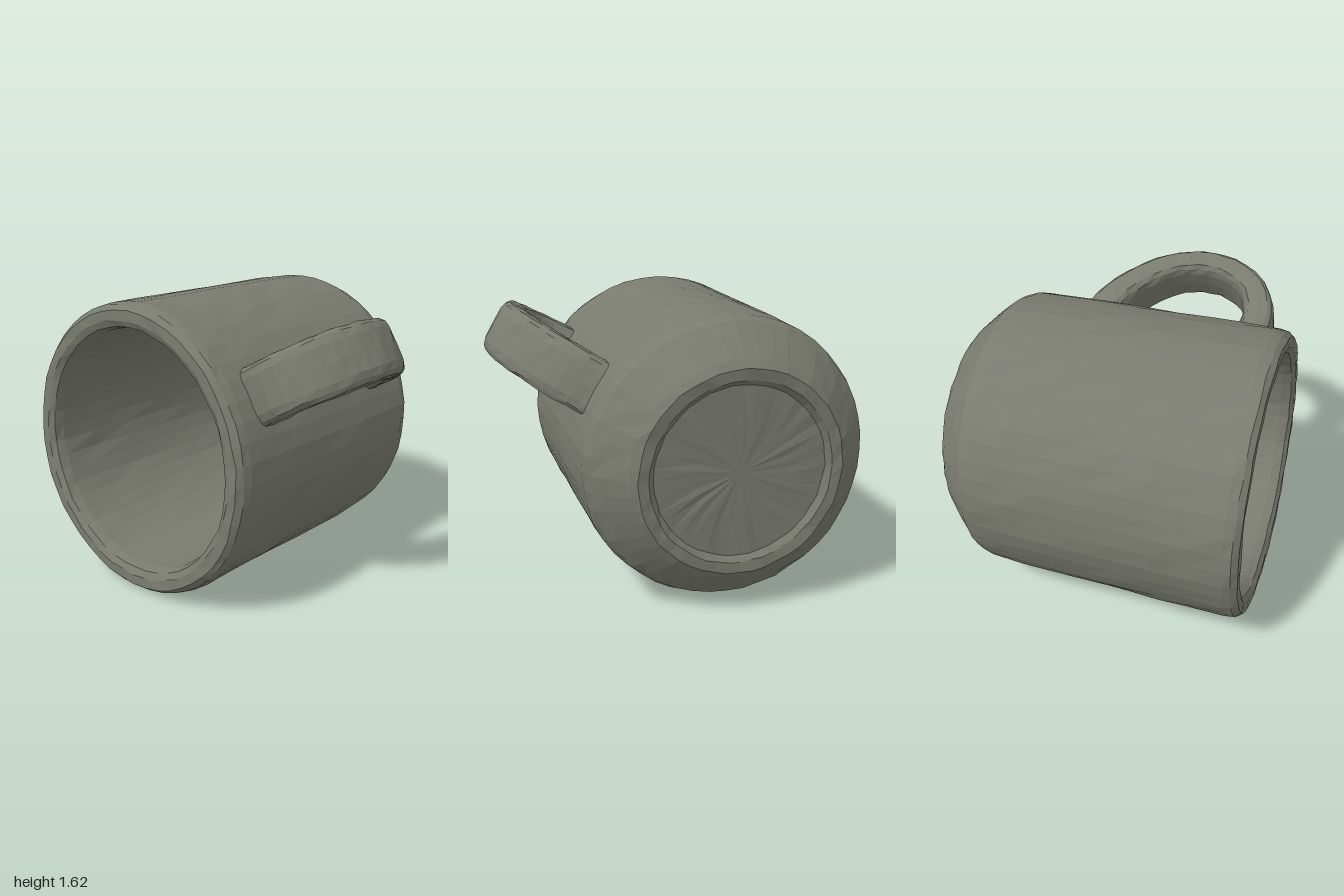
import * as THREE from 'three';

const clay = new THREE.MeshStandardMaterial({ color: 0x797b6f, flatShading: true });
clay.name = 'grey green clay';

// Repeatable value in -1..1 for a point, so shared corners stay joined
function wobble(x, y, z, salt) {
  const q = v => Math.round(v * 100 + 0.137);
  const s = Math.sin(q(x) * 12.99 + q(y) * 78.23 + q(z) * 37.72 + salt * 19.19) * 43758.55;
  return (s - Math.floor(s)) * 2 - 1;
}

// Slight hand-worked unevenness
function roughen(geometry, amount) {
  const p = geometry.attributes.position;
  for (let i = 0; i < p.count; i++) {
    const v = [p.getX(i), p.getY(i), p.getZ(i)];
    p.setXYZ(i, ...v.map((c, k) => c + amount * wobble(...v, k + 1)));
  }
  geometry.computeVertexNormals();
  return geometry;
}

// Hollow cup on its side: base, outer wall, lip, inner wall, floor
function makeCup() {
  const profile = [
    [0, -0.825], [0.25, -0.825], [0.47, -0.825], [0.5, -0.855], [0.56, -0.86],
    [0.6, -0.83], [0.7, -0.73], [0.765, -0.66], [0.79, -0.59], [0.797, -0.4],
    [0.8, -0.2], [0.802, 0], [0.804, 0.2], [0.806, 0.4], [0.808, 0.6],
    [0.81, 0.78], [0.802, 0.83], [0.775, 0.86], [0.72, 0.86], [0.685, 0.84],
    [0.67, 0.79], [0.665, 0.55], [0.66, 0.3], [0.655, 0.05], [0.65, -0.2],
    [0.64, -0.45], [0.6, -0.57], [0.5, -0.65], [0.25, -0.67], [0, -0.67],
  ].map(([r, h]) => new THREE.Vector2(r, h));
  const geometry = new THREE.LatheGeometry(profile, 48).rotateX(Math.PI / 2);
  // Both ends lean slightly
  const p = geometry.attributes.position;
  for (let i = 0; i < p.count; i++) p.setZ(i, p.getZ(i) - 0.026 * p.getY(i));
  return new THREE.Mesh(roughen(geometry, 0.004), clay);
}

// Strap handle: rounded rectangular section swept along an arch
function makeHandle() {
  const path = new THREE.CatmullRomCurve3([
    [0.73, -0.37], [0.9, -0.3], [1.05, -0.17], [1.17, 0], [1.22, 0.2],
    [1.19, 0.37], [1.1, 0.51], [0.95, 0.58], [0.73, 0.56],
  ].map(([x, z]) => new THREE.Vector3(x, 0, z)));
  const steps = 24, sides = 16, positions = [], indices = [];
  const up = new THREE.Vector3(0, 1, 0);
  const squarish = v => Math.sign(v) * Math.abs(v) ** 0.55;
  for (let i = 0; i <= steps; i++) {
    const u = i / steps, centre = path.getPointAt(u);
    const normal = up.clone().cross(path.getTangentAt(u));
    const thick = 0.078 + 0.03 * Math.abs(2 * u - 1) ** 2;
    for (let j = 0; j < sides; j++) {
      const a = (j / sides) * Math.PI * 2;
      const point = centre.clone()
        .addScaledVector(normal, thick * squarish(Math.cos(a)))
        .addScaledVector(up, 0.16 * squarish(Math.sin(a)));
      positions.push(point.x, point.y, point.z);
      if (i < steps) {
        const b = i * sides + j, c = i * sides + (j + 1) % sides;
        indices.push(b, c, b + sides, c, c + sides, b + sides);
      }
    }
  }
  const geometry = new THREE.BufferGeometry();
  geometry.setAttribute('position', new THREE.Float32BufferAttribute(positions, 3));
  geometry.setIndex(indices);
  return new THREE.Mesh(roughen(geometry, 0.004), clay);
}

export function createModel() {
  const mug = new THREE.Group();
  mug.name = 'mug';

  const cup = makeCup();
  cup.name = 'cup';
  cup.position.set(-0.2, 0.818, 0);

  // Handle rises to the side at thirty degrees
  const handle = makeHandle();
  handle.name = 'handle';
  handle.position.set(-0.2, 0.818, 0);
  handle.rotation.z = Math.PI / 6;

  mug.add(cup, handle);
  return mug;
}
